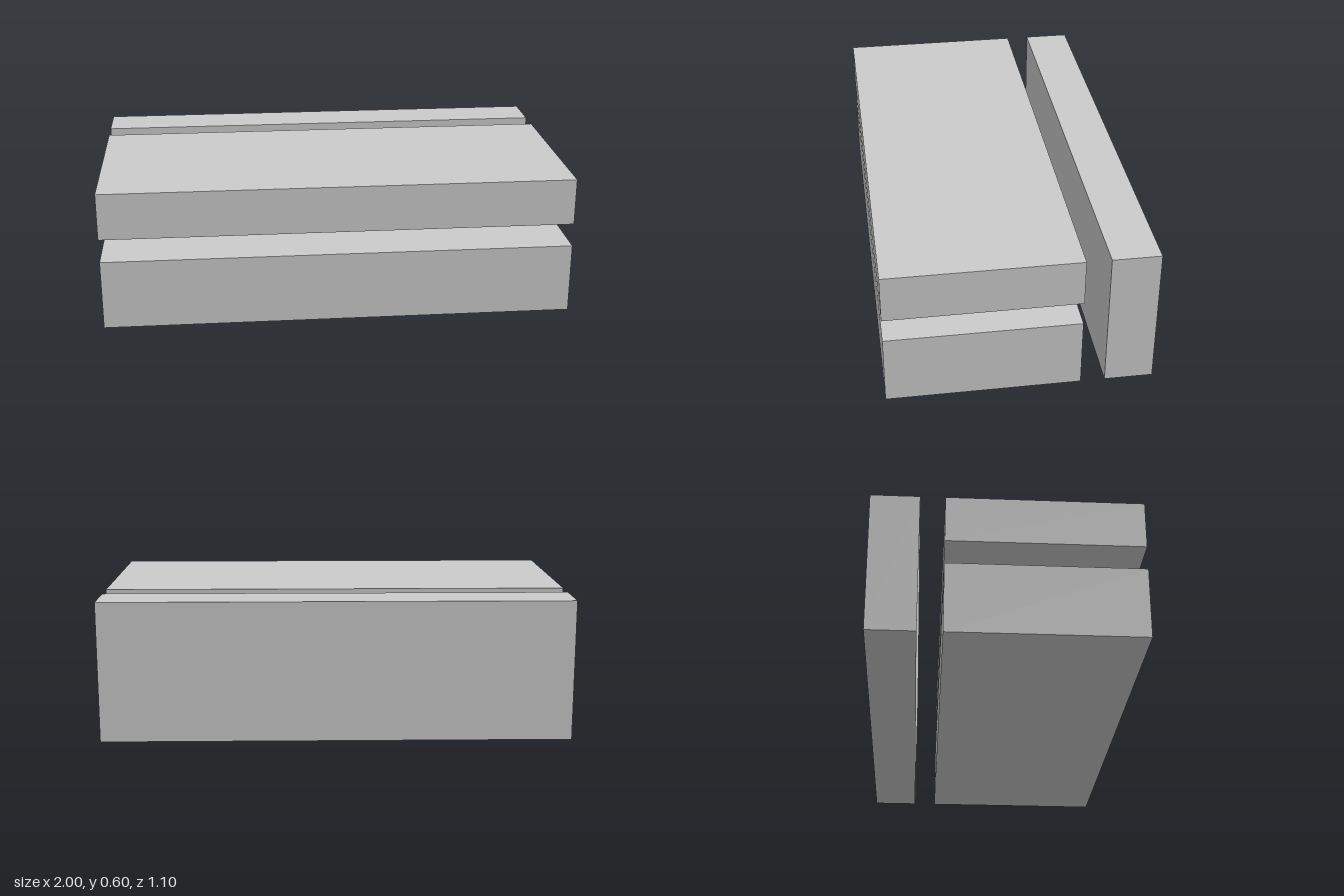
import * as THREE from 'three';

const material = new THREE.MeshStandardMaterial({ color: 0xcccccc, flatShading: true });

// Full-width block spanning y0..y1 and z0..z1
function slab(name, y0, y1, z0, z1) {
  const mesh = new THREE.Mesh(new THREE.BoxGeometry(2, y1 - y0, z1 - z0), material);
  mesh.position.set(0, (y0 + y1) / 2, (z0 + z1) / 2);
  mesh.name = name;
  return mesh;
}

export function createModel() {
  const model = new THREE.Group();
  model.name = 'slabs';
  model.add(
    slab('lowerSlab', 0, 0.3, -0.25, 0.55),
    slab('upperSlab', 0.4, 0.6, -0.25, 0.55),
    slab('backPanel', 0, 0.6, -0.55, -0.35),
  );
  return model;
}
